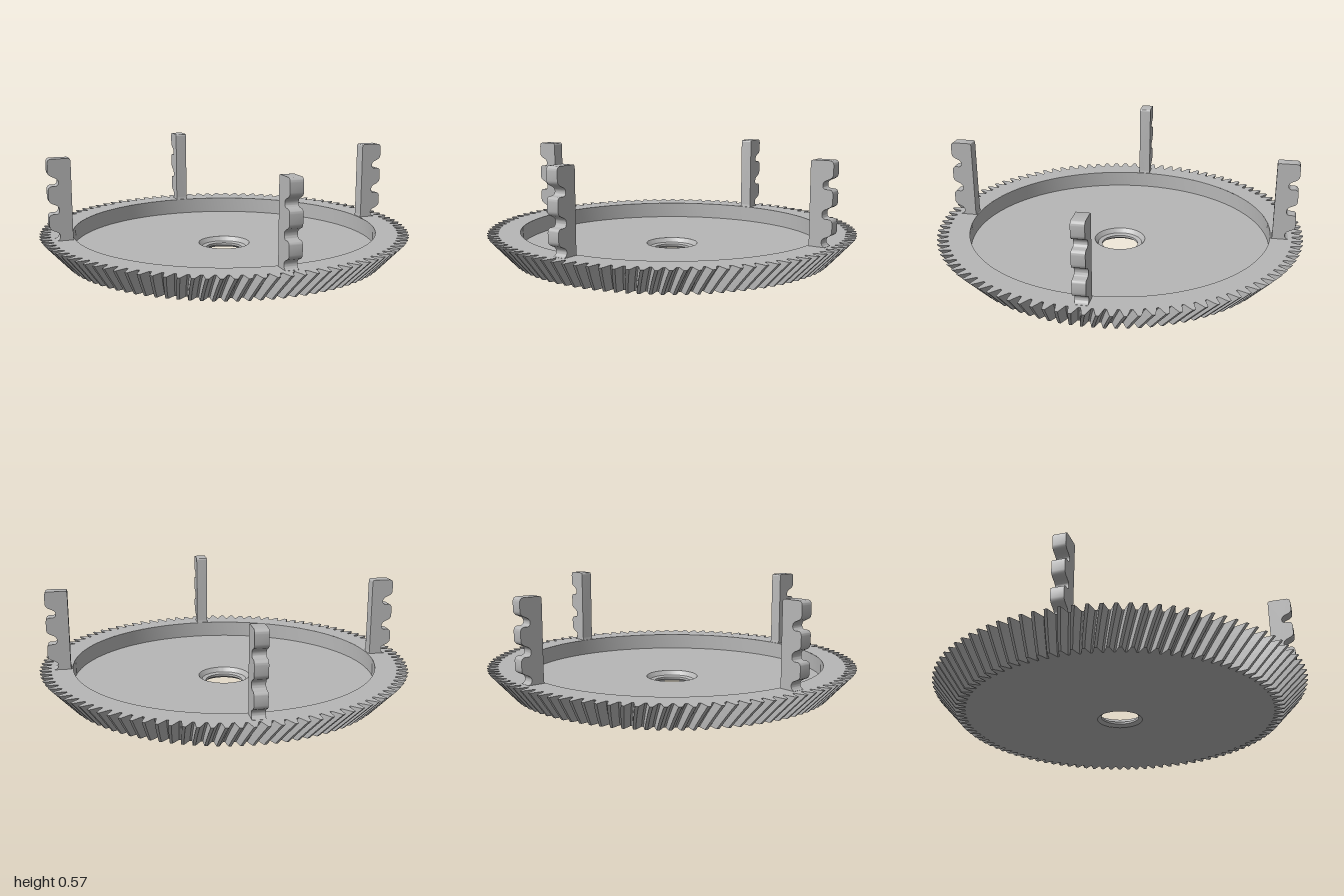
import * as THREE from 'three';
import { toCreasedNormals } from 'three/addons/utils/BufferGeometryUtils.js';

const TEETH = 100, HEIGHT = 0.145, TWIST = 0.045, PHASE = 0.016;
const PITCH = (Math.PI * 2) / TEETH;

// One tooth: [fraction of the pitch from the tip centre, depth from 0 (tip) to 1 (root)]
const TOOTH = [[-0.41, 1], [-0.25, 0.45], [-0.12, 0], [0.12, 0], [0.25, 0.45], [0.41, 1]];

// Toothed outline at height fraction t (0 = bottom, 1 = top), counter-clockwise
function outline(t) {
  const tip = 0.866 + 0.134 * t;
  const depth = 0.05 + 0.01 * t;
  const turn = PHASE - TWIST * (1 - t);
  const pts = [];
  for (let i = 0; i < TEETH; i++) {
    for (const [f, d] of TOOTH) {
      const a = (i + f) * PITCH + turn;
      const r = tip - depth * d;
      pts.push(new THREE.Vector2(r * Math.cos(a), r * Math.sin(a)));
    }
  }
  return pts;
}

// Slanted, spiralling flanks between the bottom and top outlines
function flankGeometry(layers) {
  const pos = [];
  const put = (p, t) => pos.push(p.x, HEIGHT * t, -p.y);
  for (let k = 0; k < layers; k++) {
    const t0 = k / layers, t1 = (k + 1) / layers;
    const lo = outline(t0), hi = outline(t1);
    for (let i = 0; i < lo.length; i++) {
      const j = (i + 1) % lo.length;
      put(lo[i], t0); put(lo[j], t0); put(hi[j], t1);
      put(lo[i], t0); put(hi[j], t1); put(hi[i], t1);
    }
  }
  const g = new THREE.BufferGeometry();
  g.setAttribute('position', new THREE.Float32BufferAttribute(pos, 3));
  g.computeVertexNormals();
  return g;
}

// Flat toothed face with a round hole
function faceGeometry(t, holeRadius) {
  const shape = new THREE.Shape(outline(t));
  const hole = new THREE.Path();
  hole.absarc(0, 0, holeRadius, 0, Math.PI * 2, true);
  shape.holes.push(hole);
  return new THREE.ShapeGeometry(shape, 96).rotateX(-Math.PI / 2);
}

// Side profile of a notched post: x is the radius, y is up
function postGeometry() {
  const s = new THREE.Shape();
  s.moveTo(0.828, 0.135);
  s.lineTo(0.92, 0.135);
  s.lineTo(0.92, 0.146);
  s.quadraticCurveTo(0.899, 0.15, 0.9, 0.172);
  // three hooks, each with a sloping underside and a rounded top
  for (const [low, top] of [[0.172, 0.285], [0.312, 0.43], [0.452, 0.57]]) {
    s.lineTo(0.9, low);
    s.bezierCurveTo(0.902, low + 0.028, 0.952, low + 0.02, 0.953, low + 0.052);
    s.lineTo(0.953, top - 0.022);
    s.quadraticCurveTo(0.952, top, 0.932, top);
    if (top < 0.5) {
      s.lineTo(0.915, top);
      s.quadraticCurveTo(0.9, top + 0.003, 0.9, top + 0.018);
    }
  }
  s.lineTo(0.848, 0.57);
  s.quadraticCurveTo(0.835, 0.57, 0.835, 0.555);
  s.lineTo(0.835, 0.165);
  s.quadraticCurveTo(0.835, 0.15, 0.828, 0.135);
  const width = 0.066;
  const g = new THREE.ExtrudeGeometry(s, { depth: width, bevelEnabled: false, curveSegments: 8 });
  g.translate(0, 0, -width / 2);
  return toCreasedNormals(g, 0.6);
}

export function createModel() {
  const model = new THREE.Group();
  model.name = 'bevelGear';
  const grey = new THREE.MeshStandardMaterial({ color: 0xb6b6b6 });
  grey.name = 'grey';

  const add = (geometry, name, parent = model) => {
    const mesh = new THREE.Mesh(geometry, grey);
    mesh.name = name;
    parent.add(mesh);
    return mesh;
  };

  // Gear ring
  add(flankGeometry(4), 'spiralTeeth');
  add(faceGeometry(1, 0.825).translate(0, HEIGHT, 0), 'topRim');
  const under = faceGeometry(0, 0.12);
  const index = under.index.array;
  for (let i = 0; i < index.length; i += 3) [index[i], index[i + 1]] = [index[i + 1], index[i]];
  under.computeVertexNormals();
  add(under, 'underside');

  // Recessed dish with a chamfered centre bore
  const profile = [
    [0.825, HEIGHT], [0.825, 0.055], [0.14, 0.055], [0.122, 0.032],
    [0.1, 0.026], [0.1, 0.014], [0.12, 0],
  ].map(([r, y]) => new THREE.Vector2(r, y));
  add(toCreasedNormals(new THREE.LatheGeometry(profile, 96), 0.4), 'dishAndBore');

  // Four notched posts around the rim
  const post = postGeometry();
  for (let i = 0; i < 4; i++) {
    add(post, 'notchedPost' + (i + 1)).rotation.y = 0.049 + (i * Math.PI) / 2;
  }
  return model;
}
